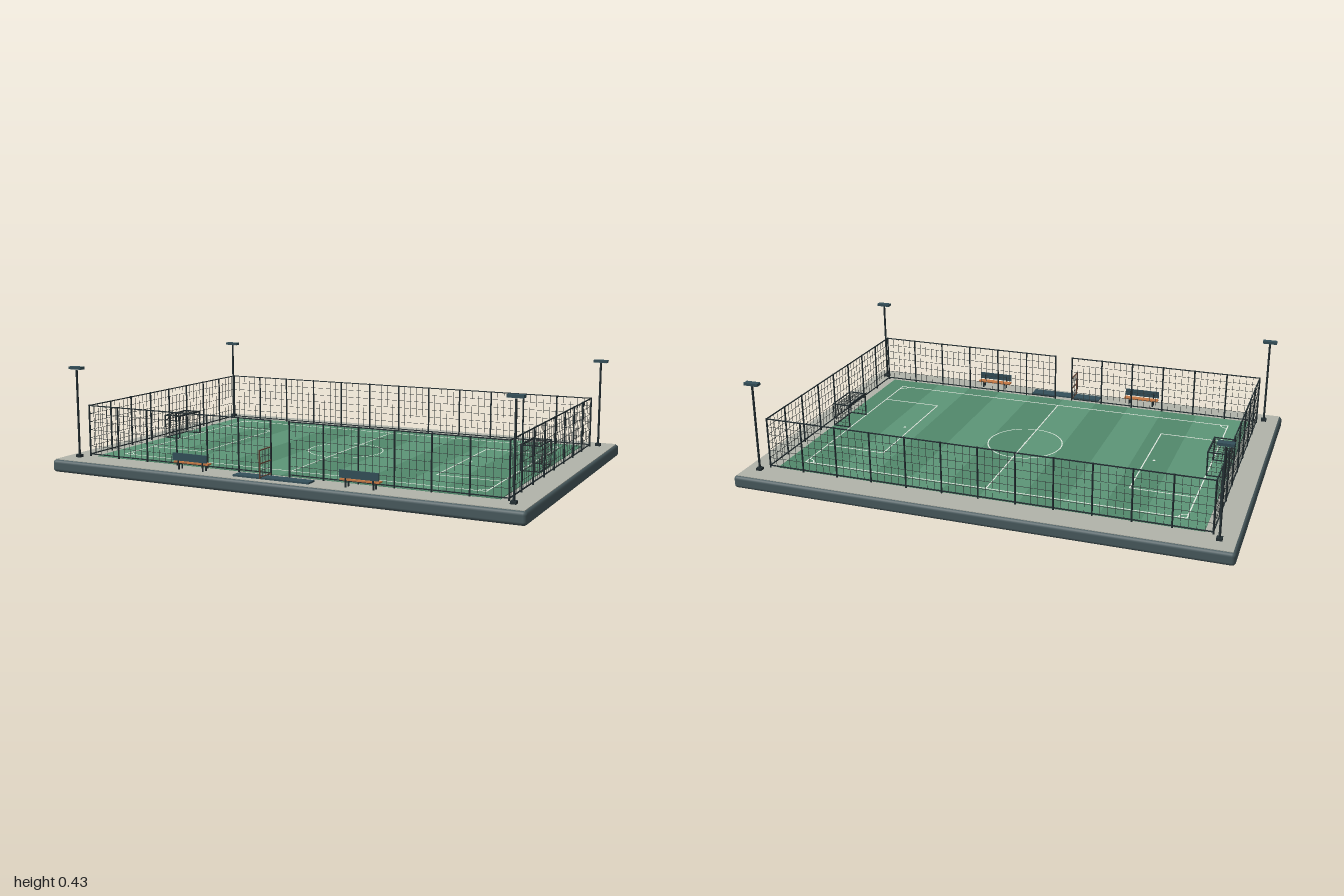
import * as THREE from 'three';
import { mergeGeometries } from 'three/addons/utils/BufferGeometryUtils.js';
import { RoundedBoxGeometry } from 'three/addons/geometries/RoundedBoxGeometry.js';

const mat = (color) => new THREE.MeshStandardMaterial({ color });
const slate = mat(0x4a5c60), concrete = mat(0xb2b4aa), dark = mat(0x243034);
const grassLight = mat(0x5d9678), grassDark = mat(0x52896c), white = mat(0xe4ebe2);
const wood = mat(0xc97a45), panel = mat(0x34505a), wire = mat(0x353c3c);
const lamp = mat(0xd8dcd4), gateMat = mat(0x6a4a3a);

const GROUND = 0.053, TURF = 0.056;

// axis-aligned box given by centre and size
const box = (x, y, z, w, h, d) => new THREE.BoxGeometry(w, h, d).translate(x, y, z);
const post = (x, y0, y1, z, r, sides = 8) =>
  new THREE.CylinderGeometry(r, r, y1 - y0, sides).translate(x, (y0 + y1) / 2, z);
// flat marking lying on the turf
const mark = (x, z, w, d) => box(x, TURF, z, w, 0.0016, d);
const arc = (x, z, r, start, sweep, seg) =>
  new THREE.RingGeometry(r - 0.0025, r + 0.0025, seg, 1, start, sweep)
    .rotateX(-Math.PI / 2).translate(x, TURF + 0.0008, z);

function add(parent, name, geometries, material) {
  const list = [].concat(geometries);
  const mesh = new THREE.Mesh(list.length > 1 ? mergeGeometries(list) : list[0], material);
  mesh.name = name;
  parent.add(mesh);
  return mesh;
}

// upright grid of wires along x, starting at the origin
function grid(length, y0, y1, cols, rows, t) {
  const out = [];
  for (let i = 0; i <= cols; i++)
    out.push(box(length * i / cols, (y0 + y1) / 2, 0, t, y1 - y0, t));
  for (let j = 0; j <= rows; j++)
    out.push(box(length / 2, y0 + (y1 - y0) * j / rows, 0, length, t, t));
  return out;
}

// straight fence run with posts, rails and wire mesh
function fenceRun(name, length, panels) {
  const g = new THREE.Group(), frame = [];
  g.name = name;
  for (let i = 0; i <= panels; i++)
    frame.push(post(length * i / panels, GROUND, 0.267, 0, 0.0036));
  for (const y of [0.062, 0.264]) frame.push(box(length / 2, y, 0, length, 0.004, 0.004));
  add(g, 'fencePostsAndRails', frame, dark);
  add(g, 'fenceMesh', grid(length, 0.062, 0.264, panels * 5, 6, 0.0013), wire);
  return g;
}

function goal() {
  const g = new THREE.Group(), frame = [], net = [];
  g.name = 'goal';
  const x0 = 0.79, x1 = 0.865, hz = 0.08, top = 0.158, mid = (x0 + x1) / 2, t = 0.0012;
  for (const s of [-1, 1]) {
    frame.push(post(x0, GROUND, top, s * hz, 0.0032), post(x1, GROUND, top, s * hz, 0.002));
    frame.push(box(mid, top, s * hz, x1 - x0, 0.004, 0.004));
    frame.push(box(mid, TURF + 0.002, s * hz, x1 - x0, 0.004, 0.004));
    net.push(...grid(x1 - x0, TURF, top, 4, 5, t).map((q) => q.translate(x0, 0, s * hz)));
  }
  frame.push(box(x0, top, 0, 0.006, 0.006, 2 * hz + 0.006));
  for (const y of [TURF + 0.002, top]) frame.push(box(x1, y, 0, 0.004, 0.004, 2 * hz));
  // back and roof of the net
  net.push(...grid(2 * hz, TURF, top, 8, 5, t)
    .map((q) => q.rotateY(Math.PI / 2).translate(x1, 0, hz)));
  net.push(...grid(x1 - x0, -hz, hz, 4, 8, t)
    .map((q) => q.rotateX(Math.PI / 2).translate(x0, top, 0)));
  add(g, 'goalFrame', frame, dark);
  add(g, 'goalNet', net, wire);
  return g;
}

function bench() {
  const g = new THREE.Group(), legs = [];
  g.name = 'bench';
  for (const x of [-0.055, 0.055]) {
    legs.push(box(x, 0.066, -0.012, 0.005, 0.026, 0.005), box(x, 0.066, 0.01, 0.005, 0.026, 0.005));
    legs.push(box(x, 0.077, 0, 0.005, 0.004, 0.032), box(x, 0.093, 0.013, 0.005, 0.034, 0.003));
  }
  add(g, 'benchLegs', legs, dark);
  add(g, 'benchSeat', box(0, 0.082, -0.002, 0.157, 0.006, 0.028), wood);
  add(g, 'benchBack', box(0, 0.104, 0.015, 0.157, 0.03, 0.004), panel);
  return g;
}

function lightMast() {
  const g = new THREE.Group();
  g.name = 'lightMast';
  add(g, 'mastFoot', box(0, 0.058, 0, 0.022, 0.012, 0.022), dark);
  add(g, 'mastPole', post(0, GROUND, 0.418, 0, 0.0045, 12), dark);
  add(g, 'mastHead', box(0, 0.422, 0, 0.06, 0.011, 0.026), panel);
  add(g, 'mastLamp', box(0, 0.416, 0, 0.052, 0.002, 0.02), lamp);
  return g;
}

export function createModel() {
  const root = new THREE.Group();
  root.name = 'sportsPitch';

  // base slab and paving
  add(root, 'baseSlab', new RoundedBoxGeometry(2, 0.051, 1.364, 3, 0.014).translate(0, 0.0255, 0), slate);
  add(root, 'paving', box(0, 0.0485, 0, 1.978, 0.009, 1.342), concrete);

  // mown stripes, the outer two running on to the edge of the turf
  const stripe = 0.158, light = [], shade = [];
  for (let i = 0; i < 10; i++) {
    const a = i === 0 ? -0.868 : -0.79 + i * stripe;
    const b = i === 9 ? 0.868 : -0.79 + (i + 1) * stripe;
    (i % 2 ? shade : light).push(box((a + b) / 2, 0.0535, 0, b - a, 0.005, 1.106));
  }
  add(root, 'lightGrass', light, grassLight);
  add(root, 'darkGrass', shade, grassDark);

  // pitch markings
  const lx = 0.788, lz = 0.473, w = 0.005, lines = [mark(0, 0, w, 2 * lz)];
  const rings = [arc(0, 0, 0.158, 0, Math.PI * 2, 64)];
  const spots = [[0, 0], [0.56, 0], [-0.56, 0]];
  for (const s of [-1, 1]) {
    lines.push(mark(0, s * lz, 2 * lx + w, w), mark(s * lx, 0, w, 2 * lz));
    lines.push(mark(s * 0.527, 0, w, 0.578));
    for (const k of [-1, 1]) {
      lines.push(mark(s * 0.6575, k * 0.289, 0.266, w));
      const start = s > 0 ? (k > 0 ? 0.5 : 1) : (k > 0 ? 0 : 1.5);
      rings.push(arc(s * lx, k * lz, 0.032, start * Math.PI, Math.PI / 2, 10));
    }
  }
  add(root, 'pitchLines', lines, white);
  add(root, 'pitchArcs', rings, white);
  add(root, 'pitchSpots', spots.map(([x, z]) =>
    new THREE.CylinderGeometry(0.006, 0.006, 0.0016, 16).translate(x, TURF, z)), white);

  // fence around the pitch, with an opening in the front run
  const run = (name, length, panels, x, z, turn = 0) => {
    const f = fenceRun(name, length, panels);
    f.position.set(x, 0, z);
    f.rotation.y = turn;
    root.add(f);
  };
  run('backFence', 1.8, 12, -0.9, -0.56);
  run('frontFenceRight', 0.86, 6, -0.9, 0.56);
  run('frontFenceLeft', 0.86, 6, 0.04, 0.56);
  run('leftFence', 1.12, 8, 0.9, 0.56, Math.PI / 2);
  run('rightFence', 1.12, 8, -0.9, 0.56, Math.PI / 2);

  // gate standing open
  const gate = new THREE.Group(), len = 0.085;
  gate.name = 'gate';
  add(gate, 'gateFrame', [
    post(0, 0.056, 0.165, 0, 0.003), post(len, 0.056, 0.165, 0, 0.003),
    ...[0.06, 0.112, 0.163].map((y) => box(len / 2, y, 0, len, 0.004, 0.004)),
  ], gateMat);
  add(gate, 'gateMesh', grid(len, 0.06, 0.163, 4, 4, 0.0013), wire);
  gate.position.set(-0.04, 0, 0.56);
  gate.rotation.y = -Math.PI / 2;
  root.add(gate);

  // entrance mat
  add(root, 'entranceMat', box(0, 0.056, 0.615, 0.325, 0.007, 0.05), panel);

  // mirrored goals, benches and masts
  for (const s of [-1, 1]) {
    const net = goal();
    if (s < 0) net.rotation.y = Math.PI;
    root.add(net);
    const seat = bench();
    seat.position.set(s * 0.362, 0, 0.614);
    root.add(seat);
    for (const k of [-1, 1]) {
      const mast = lightMast();
      mast.position.set(s * 0.928, 0, k * 0.596);
      root.add(mast);
    }
  }
  return root;
}
